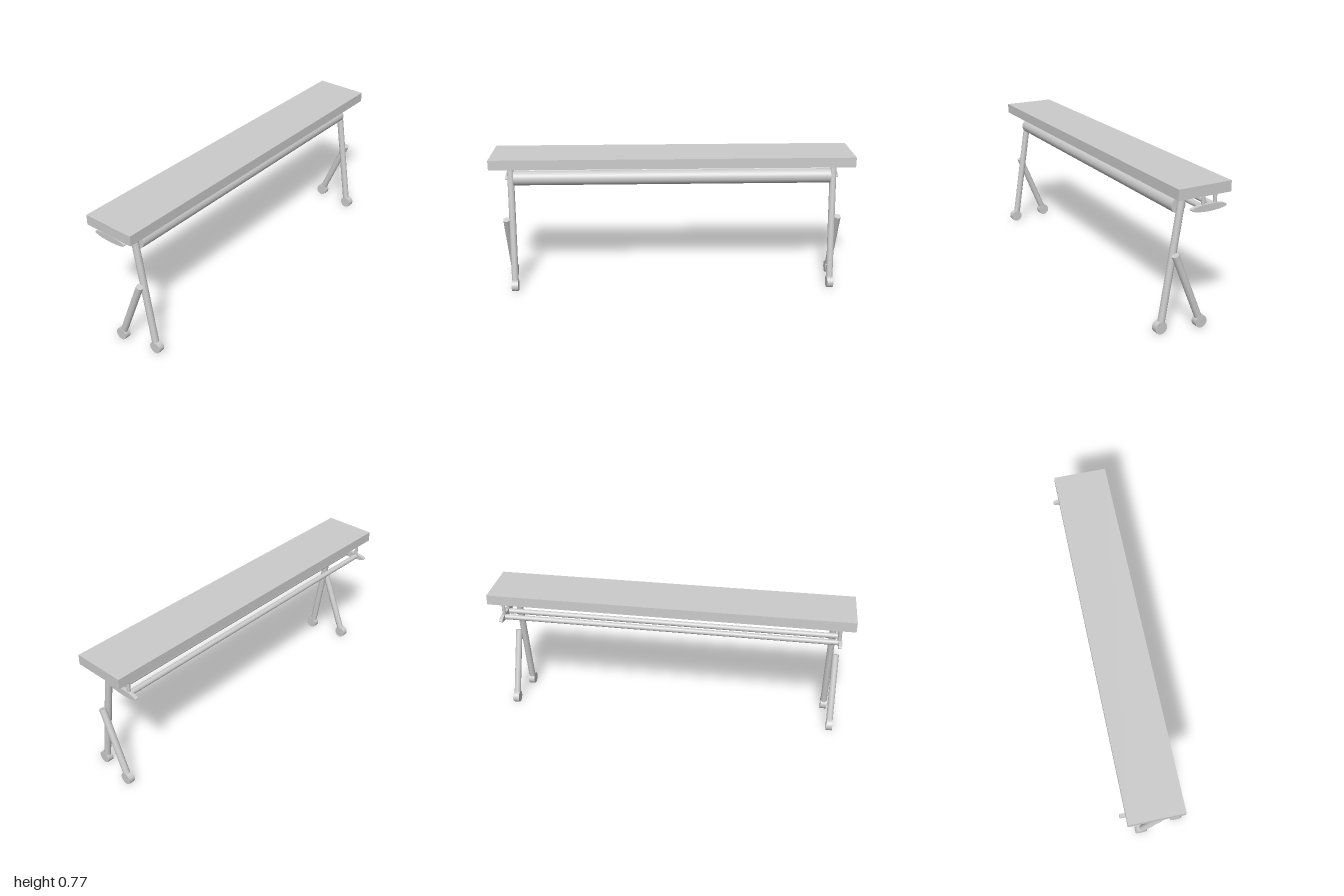
import * as THREE from 'three';

const material = new THREE.MeshStandardMaterial({ color: 0xcccccc });

// Round bar between two points
function bar(name, a, b, radius, segments = 32) {
  const from = new THREE.Vector3(...a), to = new THREE.Vector3(...b);
  const dir = to.clone().sub(from);
  const mesh = new THREE.Mesh(
    new THREE.CylinderGeometry(radius, radius, dir.length(), segments), material);
  mesh.position.copy(from).add(to).multiplyScalar(0.5);
  mesh.quaternion.setFromUnitVectors(new THREE.Vector3(0, 1, 0), dir.normalize());
  mesh.name = name;
  return mesh;
}

// Bar running along z, centred on z
const zBar = (name, x, y, z, length, radius, segments) =>
  bar(name, [x, y, z - length / 2], [x, y, z + length / 2], radius, segments);

export function createModel() {
  const model = new THREE.Group();
  model.name = 'foldingTable';

  // Table top
  const top = new THREE.Mesh(new THREE.BoxGeometry(0.294, 0.055, 2), material);
  top.position.set(-0.011, 0.7395, 0);
  top.name = 'tableTop';
  model.add(top);

  // Thick cross tube between the legs
  model.add(zBar('crossTube', 0.052, 0.64, 0, 1.755, 0.04, 48));

  // Shelf rails
  const railXs = [-0.126, -0.0575];
  for (const x of railXs) model.add(zBar('shelfRail', x, 0.624, 0, 1.84, 0.0145));

  for (const side of [1, -1]) {
    const end = new THREE.Group();
    end.name = side > 0 ? 'frontLegSet' : 'backLegSet';
    const legZ = side * 0.895, braceZ = side * 0.928;

    // Main leg, brace leg and their wheels
    end.add(bar('mainLeg', [0.041, 0.714, legZ], [0.144, 0.057, legZ], 0.0185));
    end.add(bar('braceLeg', [0.095, 0.411, braceZ], [-0.05, 0.058, braceZ], 0.0185));
    end.add(zBar('mainWheel', 0.152, 0.033, legZ, 0.035, 0.033, 40));
    end.add(zBar('braceWheel', -0.059, 0.033, braceZ, 0.035, 0.033, 40));

    // Oval shelf end plate
    const plate = zBar('shelfEndPlate', -0.086, 0.624, side * 0.925, 0.02, 1, 64);
    plate.geometry.rotateX(Math.PI / 2).scale(0.1, 0.018, 1);
    plate.quaternion.identity();
    end.add(plate);

    // Hangers from table top to shelf
    for (const x of railXs)
      end.add(bar('shelfHanger', [x, 0.625, side * 0.921], [x, 0.714, side * 0.921], 0.0095, 24));
    model.add(end);
  }
  return model;
}
